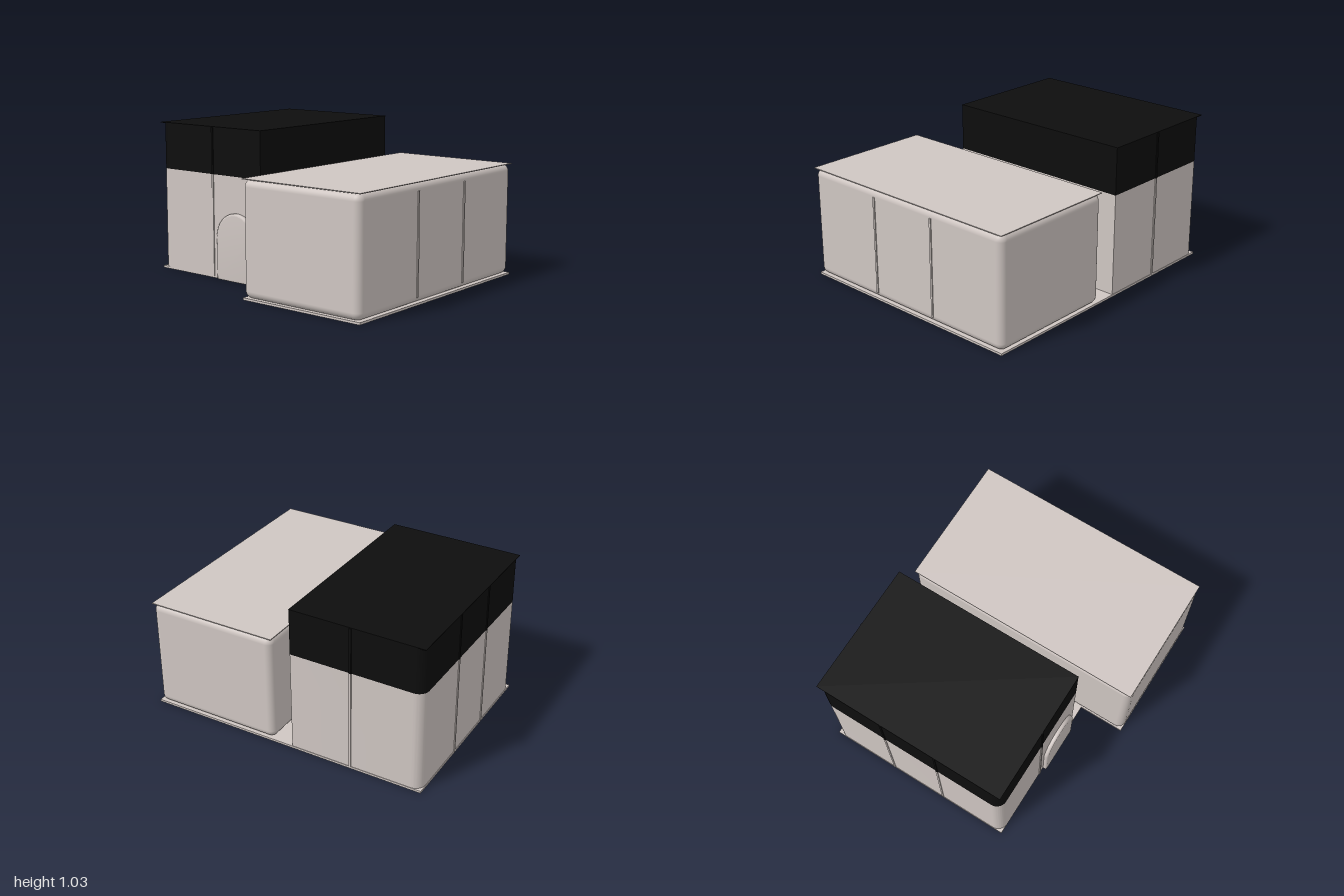
import * as THREE from 'three';
import { toCreasedNormals } from 'three/addons/utils/BufferGeometryUtils.js';
import { RoundedBoxGeometry } from 'three/addons/geometries/RoundedBoxGeometry.js';

const stone = new THREE.MeshStandardMaterial({ color: 0xcfc6c2, side: THREE.DoubleSide });
const black = new THREE.MeshStandardMaterial({ color: 0x0d0d0d });

function add(parent, name, geometry, material, x = 0, y = 0, z = 0) {
  const mesh = new THREE.Mesh(geometry, material);
  mesh.name = name;
  mesh.position.set(x, y, z);
  parent.add(mesh);
  return mesh;
}

// Box given by its limits
function block(parent, name, material, x0, x1, y0, y1, z0, z1) {
  const g = new THREE.BoxGeometry(x1 - x0, y1 - y0, z1 - z0);
  return add(parent, name, g, material, (x0 + x1) / 2, (y0 + y1) / 2, (z0 + z1) / 2);
}

// Floor plan (x, -z) raised along y
function raise(shape, height) {
  const g = new THREE.ExtrudeGeometry(shape, { depth: height, bevelEnabled: false, curveSegments: 8 });
  g.rotateX(-Math.PI / 2);
  return toCreasedNormals(g, 0.6);
}

// Rear plan: square corners towards the gap, rounded corners at the back
function rearPlan() {
  const x0 = -0.52, x1 = 0.835, r = 0.07;
  const s = new THREE.Shape();
  s.moveTo(x0, 0.07);
  s.lineTo(x1, 0.07);
  s.lineTo(x1, 0.995 - r);
  s.absarc(x1 - r, 0.995 - r, r, 0, Math.PI / 2);
  s.absarc(x0 + r, 0.995 - r, r, Math.PI / 2, Math.PI);
  s.closePath();
  return s;
}

// Round-headed arch standing on y = 0
function archShape(r, spring) {
  const s = new THREE.Shape();
  s.moveTo(-r, 0);
  s.lineTo(r, 0);
  s.lineTo(r, spring);
  s.absarc(0, spring, r, 0, Math.PI);
  s.closePath();
  return s;
}

// Vaulted skin lofted through arches of changing radius; sections are [z, radius]
function vault(sections, spring) {
  const n = 24, pos = [], idx = [];
  for (const [z, r] of sections) {
    pos.push(r, 0, z);
    for (let i = 0; i <= n; i++) {
      const a = Math.PI * i / n;
      pos.push(r * Math.cos(a), spring + r * Math.sin(a), z);
    }
    pos.push(-r, 0, z);
  }
  const w = n + 3;
  for (let j = 0; j < sections.length - 1; j++) {
    for (let i = 0; i < w - 1; i++) {
      const a = j * w + i, b = a + w;
      idx.push(a, a + 1, b, b, a + 1, b + 1);
    }
  }
  const g = new THREE.BufferGeometry();
  g.setAttribute('position', new THREE.Float32BufferAttribute(pos, 3));
  g.setIndex(idx);
  // Wind the faces outwards
  for (let i = 0; i < idx.length; i += 3) [idx[i + 1], idx[i + 2]] = [idx[i + 2], idx[i + 1]];
  g.setIndex(idx);
  return toCreasedNormals(g, 0.6);
}

export function createModel() {
  const model = new THREE.Group();
  model.name = 'linkedModules';

  // L-shaped base plate
  const plan = new THREE.Shape([
    [-0.845, -0.995], [0.838, -0.995], [0.838, 0.998], [-0.52, 0.998], [-0.52, -0.07], [-0.845, -0.07],
  ].map(([x, y]) => new THREE.Vector2(x, y)));
  add(model, 'basePlate', raise(plan, 0.015), stone);

  // Front module: rounded body under a thin square-cornered roof sheet
  const front = new THREE.Group();
  front.name = 'frontModule';
  model.add(front);
  add(front, 'frontBody', new RoundedBoxGeometry(1.68, 0.757, 0.92, 5, 0.05), stone, -0.005, 0.39, 0.53);
  block(front, 'frontRoof', stone, -0.845, 0.835, 0.766, 0.771, 0.07, 0.992);
  for (const x of [-0.26, 0.25]) {
    block(front, 'frontRib', stone, x - 0.007, x + 0.007, 0.05, 0.715, 0.97, 0.997);
  }

  // Rear module: pale walls, black upper storey and roof sheet
  const rear = new THREE.Group();
  rear.name = 'rearModule';
  model.add(rear);
  add(rear, 'rearBody', raise(rearPlan(), 0.697), stone, 0, 0.013, 0);
  add(rear, 'rearUpper', raise(rearPlan(), 0.315), black, 0, 0.71, 0);
  block(rear, 'rearRoof', black, -0.522, 0.838, 1.025, 1.03, -0.998, -0.07);
  for (const [material, y0, y1] of [[stone, 0.013, 0.71], [black, 0.71, 1.025]]) {
    for (const x of [-0.04, 0.36]) {
      block(rear, 'backRib', material, x - 0.007, x + 0.007, y0, y1, -1, -0.98);
    }
    block(rear, 'leftRib', material, 0.82, 0.842, y0, y1, -0.507, -0.493);
    block(rear, 'rightRib', material, -0.527, -0.5, y0, y1, -0.507, -0.493);
  }

  // Arched doorway on the rear module's right side
  const door = new THREE.ExtrudeGeometry(archShape(0.155, 0.28), {
    depth: 0.02, bevelThickness: 0.012, bevelSize: 0.015, bevelSegments: 3, curveSegments: 20,
  });
  const doorway = add(rear, 'archedDoorway', toCreasedNormals(door, 0.6), stone, -0.515, 0.015, -0.28);
  doorway.rotation.y = -Math.PI / 2;

  // Vaulted passage with flared ends and shallow grooves
  const links = new THREE.Group();
  links.name = 'links';
  model.add(links);
  const half = [[0.075, 0.228], [0.062, 0.223], [0.053, 0.206], [0.033, 0.206], [0.03, 0.196], [0.012, 0.196], [0.009, 0.203]];
  const sections = [...half.map(([z, r]) => [-z, r]), ...half.slice().reverse()];
  add(links, 'passage', vault(sections, 0.27), stone, -0.19, 0.005, 0);

  // Two round ducts, flared where they meet the walls
  const duct = new THREE.LatheGeometry([
    [0.078, -0.075], [0.074, -0.066], [0.064, -0.056], [0.06, -0.042],
    [0.06, 0.042], [0.064, 0.056], [0.074, 0.066], [0.078, 0.075],
  ].map(([r, y]) => new THREE.Vector2(r, y)), 28);
  duct.rotateX(Math.PI / 2);
  add(links, 'upperDuct', duct, stone, 0.24, 0.42, 0);
  add(links, 'lowerDuct', duct, stone, 0.505, 0.22, 0);

  return model;
}
